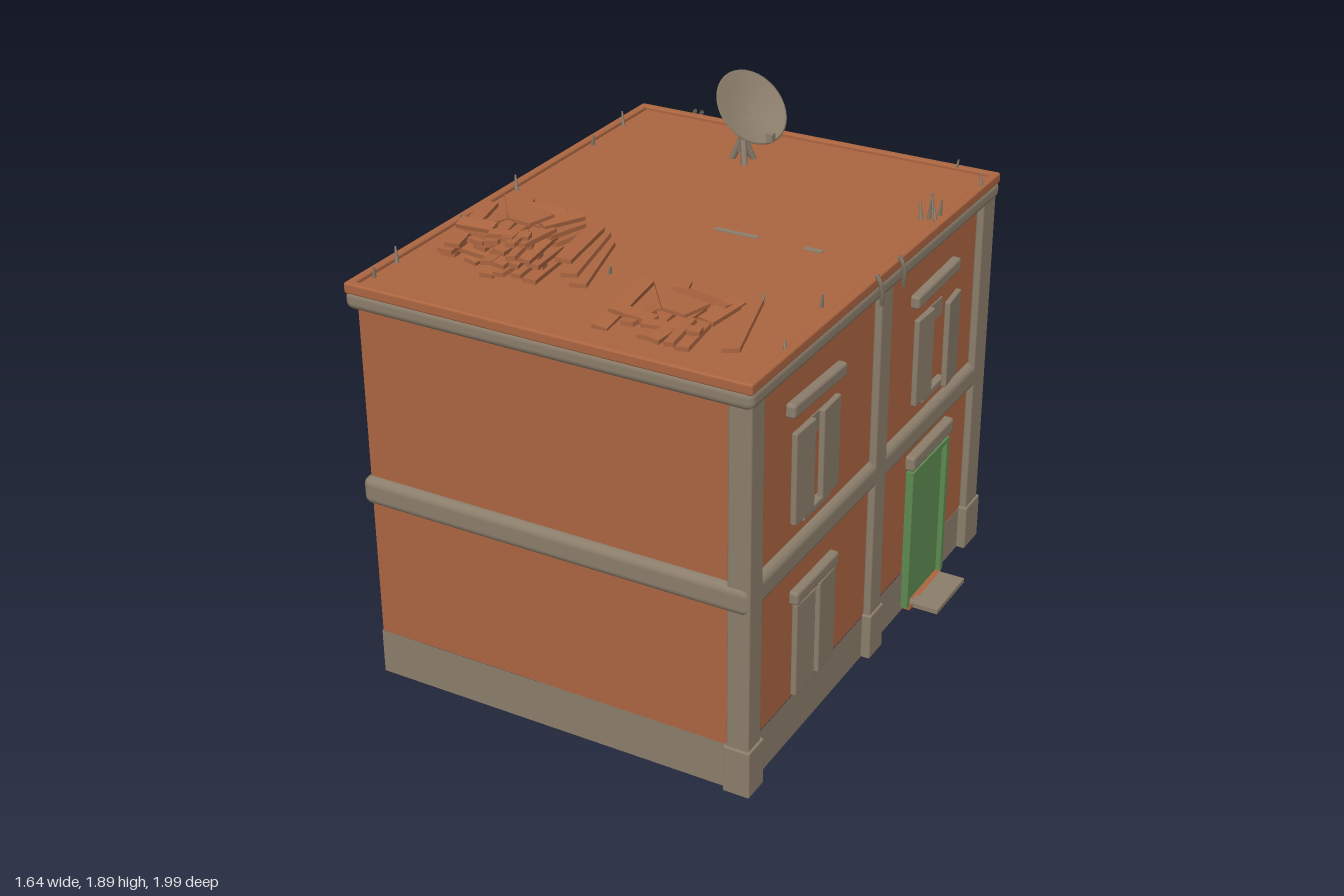
import * as THREE from 'three';
import { RoundedBoxGeometry } from 'three/addons/geometries/RoundedBoxGeometry.js';

export function createModel() {
  const model = new THREE.Group();
  const mat = (name, color, side = THREE.FrontSide) => {
    const m = new THREE.MeshStandardMaterial({ color, side });
    m.name = name;
    return m;
  };
  const clay = mat('clay', 0xab6540, THREE.DoubleSide);
  const stone = mat('stone', 0x8b7d6b, THREE.DoubleSide);
  const green = mat('doorGreen', 0x5d8a51);

  let seed = 7;
  const rnd = () => (seed = (seed * 16807) % 2147483647) / 2147483647;

  const add = (name, geo, material, x = 0, y = 0, z = 0, parent = model) => {
    const m = new THREE.Mesh(geo, material);
    m.name = name;
    m.position.set(x, y, z);
    parent.add(m);
    return m;
  };
  // Block given by its limits, with optional rounded edges
  const block = (name, material, x0, x1, y0, y1, z0, z1, r = 0) => {
    const s = [x1 - x0, y1 - y0, z1 - z0];
    const geo = r ? new RoundedBoxGeometry(...s, 3, r) : new THREE.BoxGeometry(...s);
    return add(name, geo, material, (x0 + x1) / 2, (y0 + y1) / 2, (z0 + z1) / 2);
  };
  // Four beams around a rectangle
  const ring = (name, material, x0, x1, y0, y1, z0, z1, t, r = 0) => {
    block(name + 'Front', material, x0, x1, y0, y1, z1 - t, z1, r);
    block(name + 'Back', material, x0, x1, y0, y1, z0, z0 + t, r);
    block(name + 'Left', material, x1 - t, x1, y0, y1, z0, z1, r);
    block(name + 'Right', material, x0, x0 + t, y0, y1, z0, z1, r);
  };
  // Open four-sided sheet, without top or bottom
  const shell = (name, material, x0, x1, y0, y1, z0, z1) => {
    const geo = new THREE.BoxGeometry(x1 - x0, y1 - y0, z1 - z0);
    const index = Array.from(geo.index.array);
    geo.setIndex([...index.slice(0, 12), ...index.slice(24)]);
    geo.clearGroups();
    return add(name, geo, material, (x0 + x1) / 2, (y0 + y1) / 2, (z0 + z1) / 2);
  };
  // Tapered rod between two points
  const rod = (name, material, a, b, r0, r1 = r0, parent = model) => {
    const p = new THREE.Vector3(...a), q = new THREE.Vector3(...b), d = q.clone().sub(p);
    const m = add(name, new THREE.CylinderGeometry(r1, r0, d.length(), 6), material, 0, 0, 0, parent);
    m.position.copy(p).add(q).multiplyScalar(0.5);
    m.quaternion.setFromUnitVectors(new THREE.Vector3(0, 1, 0), d.normalize());
    return m;
  };

  // Walls, plinth, upper floor and roof
  shell('walls', clay, -0.787, 0.685, 0.174, 1.52, -0.935, 0.962);
  shell('plinth', stone, -0.79, 0.688, 0, 0.176, -0.938, 0.965);
  block('upperFloor', clay, -0.786, 0.684, 0.708, 0.722, -0.934, 0.961);
  block('roof', clay, -0.8, 0.7, 1.515, 1.545, -0.965, 0.97);
  ring('parapet', clay, -0.82, 0.72, 1.52, 1.56, -0.98, 0.992, 0.032, 0.008);
  ring('cornice', stone, -0.822, 0.722, 1.462, 1.535, -0.982, 0.994, 0.07, 0.028);
  ring('beltCourse', stone, -0.81, 0.715, 0.712, 0.818, -0.965, 0.992, 0.065, 0.03);
  block('roofBeamPatch', stone, 0.03, 0.2, 1.54, 1.548, -0.045, -0.022);
  block('roofBeamPatch', stone, 0.38, 0.45, 1.54, 1.548, -0.045, -0.02);

  // Pilasters wrapped around the corners, each with a wider foot
  const pilasters = [
    [0.685, 0.715, 0.89, 0.982], [0.63, 0.715, 0.96, 0.982],
    [0.685, 0.715, -0.055, 0.04],
    [0.685, 0.715, -0.96, -0.845], [0.63, 0.715, -0.96, -0.937],
    [-0.815, -0.787, -0.96, -0.895], [-0.815, -0.71, -0.96, -0.937],
  ];
  for (const [x0, x1, z0, z1] of pilasters) {
    block('pilaster', stone, x0, x1, 0.1, 1.49, z0, z1, 0.009);
    // the foot grows outwards only, away from the wall
    const fx0 = x0 < -0.7 ? x0 - 0.008 : x0 - (x0 < 0.66 ? 0.008 : 0);
    const fx1 = x1 < -0.78 ? x1 : x1 + 0.008;
    const fz0 = z1 - z0 < 0.03 && z0 > 0 ? z0 : z0 - 0.008;
    const fz1 = z1 - z0 < 0.03 && z0 < 0 ? z1 : z1 + 0.008;
    block('pilasterFoot', stone, fx0, fx1, 0, 0.185, fz0, fz1, 0.006);
  }

  // Windows: pairs of shutters, lintel and sill on the left side
  const windows = [
    { z: 0.495, y0: 0.885, y1: 1.23, lintel: 1.317, half: 0.195, tilt: -0.03, upper: true },
    { z: -0.463, y0: 0.885, y1: 1.23, lintel: 1.313, half: 0.188, tilt: 0.03, upper: true },
    { z: 0.48, y0: 0.19, y1: 0.56, lintel: 0.588, half: 0.16, tilt: 0, upper: false },
  ];
  for (const w of windows) {
    for (const s of [-1, 1]) {
      const off = w.upper ? 0.096 : 0.082;
      const ajar = w.z < 0 && s < 0;
      const x = ajar ? 0.728 : 0.702;
      const shutter = block('shutter', stone, x - 0.011, x + 0.011, w.y0, w.y1,
        w.z + s * off - 0.067, w.z + s * off + 0.067, 0.006);
      shutter.rotation.y = ajar ? 0.1 : -s * 0.03;
    }
    const lintel = block('lintel', stone, 0.675, 0.717, w.lintel - 0.026, w.lintel + 0.026,
      w.z - w.half, w.z + w.half, 0.012);
    lintel.rotation.x = w.tilt;
    if (w.upper) {
      block('sill', stone, 0.675, 0.712, 0.868, 0.9, w.z - 0.1, w.z + 0.1, 0.008);
      block('windowHead', stone, 0.68, 0.69, 1.15, 1.22, w.z - 0.09, w.z + 0.09);
    }
  }

  // Door with frame, lintel and step
  const [dz0, dz1] = [-0.637, -0.305];
  block('doorPanel', green, 0.68, 0.695, 0.018, 0.6, dz0 + 0.01, dz1 - 0.01);
  block('doorJamb', green, 0.68, 0.715, 0.018, 0.606, dz0, dz0 + 0.022);
  block('doorJamb', green, 0.68, 0.715, 0.018, 0.606, dz1 - 0.022, dz1);
  block('doorHead', green, 0.68, 0.715, 0.588, 0.606, dz0, dz1);
  block('threshold', clay, 0.68, 0.718, 0, 0.018, dz0 + 0.02, dz1 - 0.02);
  block('doorLintel', stone, 0.675, 0.72, 0.617, 0.677, -0.66, -0.295, 0.012).rotation.x = 0.01;
  block('doorStep', stone, 0.686, 0.82, 0, 0.018, -0.61, -0.35);

  // Satellite dish on a small stand
  const dish = new THREE.Group();
  dish.name = 'satelliteDish';
  model.add(dish);
  const normal = new THREE.Vector3(0.71, 0.66, 0.24).normalize();
  const profile = [[0.001, -0.035], [0.05, -0.031], [0.1, -0.018], [0.148, 0.003], [0.154, 0.008],
    [0.146, 0.01], [0.1, -0.008], [0.05, -0.02], [0.001, -0.024]].map(p => new THREE.Vector2(...p));
  const bowl = add('dishBowl', new THREE.LatheGeometry(profile, 36), stone, -0.152, 1.767, -0.638, dish);
  bowl.quaternion.setFromUnitVectors(new THREE.Vector3(0, 1, 0), normal);
  rod('dishPost', stone, [-0.2, 1.58, -0.655], [-0.17, 1.745, -0.645], 0.016, 0.014, dish);
  for (const [x, z] of [[-0.24, -0.655], [-0.165, -0.69], [-0.165, -0.615]])
    rod('dishLeg', stone, [x, 1.54, z], [-0.193, 1.645, -0.655], 0.013, 0.013, dish);
  rod('dishArm', stone, [-0.185, 1.65, -0.645], [-0.045, 1.68, -0.605], 0.006, 0.006, dish);
  add('dishReceiver', new THREE.BoxGeometry(0.025, 0.03, 0.025), stone, -0.05, 1.68, -0.605, dish);

  // Heaps of broken planks: [x, z, width, length, turn, layer]
  const planks = [
    [-0.22, 0.0, 0.055, 0.36, 0.09, 0], [0.2, -0.03, 0.06, 0.36, 0.27, 0],
    [-0.12, 0.02, 0.05, 0.24, -0.1, 0], [-0.05, 0.06, 0.05, 0.26, 0.12, 0],
    [0.02, 0.07, 0.045, 0.26, -0.05, 1], [0.09, 0.06, 0.05, 0.24, 0.1, 0],
    [-0.09, -0.08, 0.06, 0.2, 0.25, 1], [0.1, -0.07, 0.06, 0.18, -0.15, 1],
    [0.0, -0.1, 0.05, 0.2, 1.4, 1], [0.02, 0.1, 0.04, 0.18, 1.75, 1],
    [0.06, 0.12, 0.035, 0.16, 0.1, 1], [-0.14, 0.09, 0.05, 0.16, 1.45, 1],
  ];
  const heap = (name, cx, cz, sx, layers, rise) => {
    const g = new THREE.Group();
    g.name = name;
    g.position.set(cx, 1.556, cz);
    model.add(g);
    for (let k = 0; k < layers; k++) {
      const shrink = 1 - 0.07 * k;
      for (const [x, z, w, l, turn, layer] of planks) {
        // the top layer leaves out the outermost planks
        if (k > 2 && Math.abs(x) > 0.15) continue;
        const m = add('plank', new THREE.BoxGeometry(w, 0.016, l * (0.9 + 0.25 * rnd()) * shrink), clay,
          (x * sx - 0.008 * k) * shrink, (k * 2 + layer) * rise + 0.006 * rnd(), z * 1.1 + 0.03 * (rnd() - 0.5), g);
        m.rotation.set(0.1 * (rnd() - 0.5), turn + 0.2 * (rnd() - 0.5) * k, 0.35 * (rnd() - 0.5));
      }
    }
    // Broken sheet lying on top
    const sheet = new THREE.Shape([[-0.17, 0.13], [-0.1, 0.1], [0.08, 0.06], [0.05, -0.05], [-0.04, -0.04]]
      .map(p => new THREE.Vector2(...p)));
    const top = add('brokenSheet', new THREE.ExtrudeGeometry(sheet, { depth: 0.012, bevelEnabled: false }),
      clay, -0.02, layers * 2 * rise - 0.004, 0, g);
    top.rotation.x = -Math.PI / 2;
  };
  heap('largePlankHeap', -0.4, 0.49, 1.15, 4, 0.0165);
  heap('smallPlankHeap', 0.3, 0.665, 1, 1, 0.014);

  // Reinforcing rods along the roof edge: [x, z, height]
  const rods = [[-0.775, -0.75, 0.05], [-0.775, -0.52, 0.04], [-0.775, 0.01, 0.05], [-0.775, 0.37, 0.04],
    [-0.775, 0.75, 0.05], [-0.775, 0.88, 0.04], [0.63, -0.46, 0.06], [0.65, -0.48, 0.075], [0.64, -0.54, 0.07],
    [0.67, -0.53, 0.06], [0.69, -0.45, 0.05], [0.64, 0.36, 0.05], [0.46, 0.42, 0.02], [0.55, -0.96, 0.04],
    [0.71, -0.82, 0.06], [-0.1, 0.47, 0.03], [0.69, 0.71, 0.03], [-0.4, -0.955, 0.03]];
  rods.forEach(([x, z, h], i) => {
    const lean = i % 2 ? 0.012 : -0.012;
    rod('roofRod', stone, [x, 1.535, z], [x + lean, 1.55 + h, z + lean], 0.009, 0.003);
  });

  // Bent rods hanging over the cornice
  const hang = points => {
    const curve = new THREE.CatmullRomCurve3(points.map(p => new THREE.Vector3(...p)));
    add('hangingRod', new THREE.TubeGeometry(curve, 12, 0.008, 6), stone);
  };
  for (const z of [0.09, -0.09])
    hang([[0.722, 1.575, z + 0.02], [0.733, 1.55, z + 0.015], [0.735, 1.5, z], [0.726, 1.45, z - 0.02]]);
  for (const x of [-0.57, -0.6])
    hang([[x + 0.02, 1.57, -0.98], [x + 0.01, 1.55, -0.99], [x, 1.5, -0.99], [x - 0.02, 1.46, -0.982]]);

  // Stones lying along the back
  for (const [x, r] of [[0.6, 0.036], [-0.7, 0.036], [-0.62, 0.03]]) {
    const rock = add('rock', new THREE.IcosahedronGeometry(r, 2), stone, x, r * 0.9, -0.964);
    rock.scale.set(1.1, 0.9, 0.95);
  }

  return model;
}
